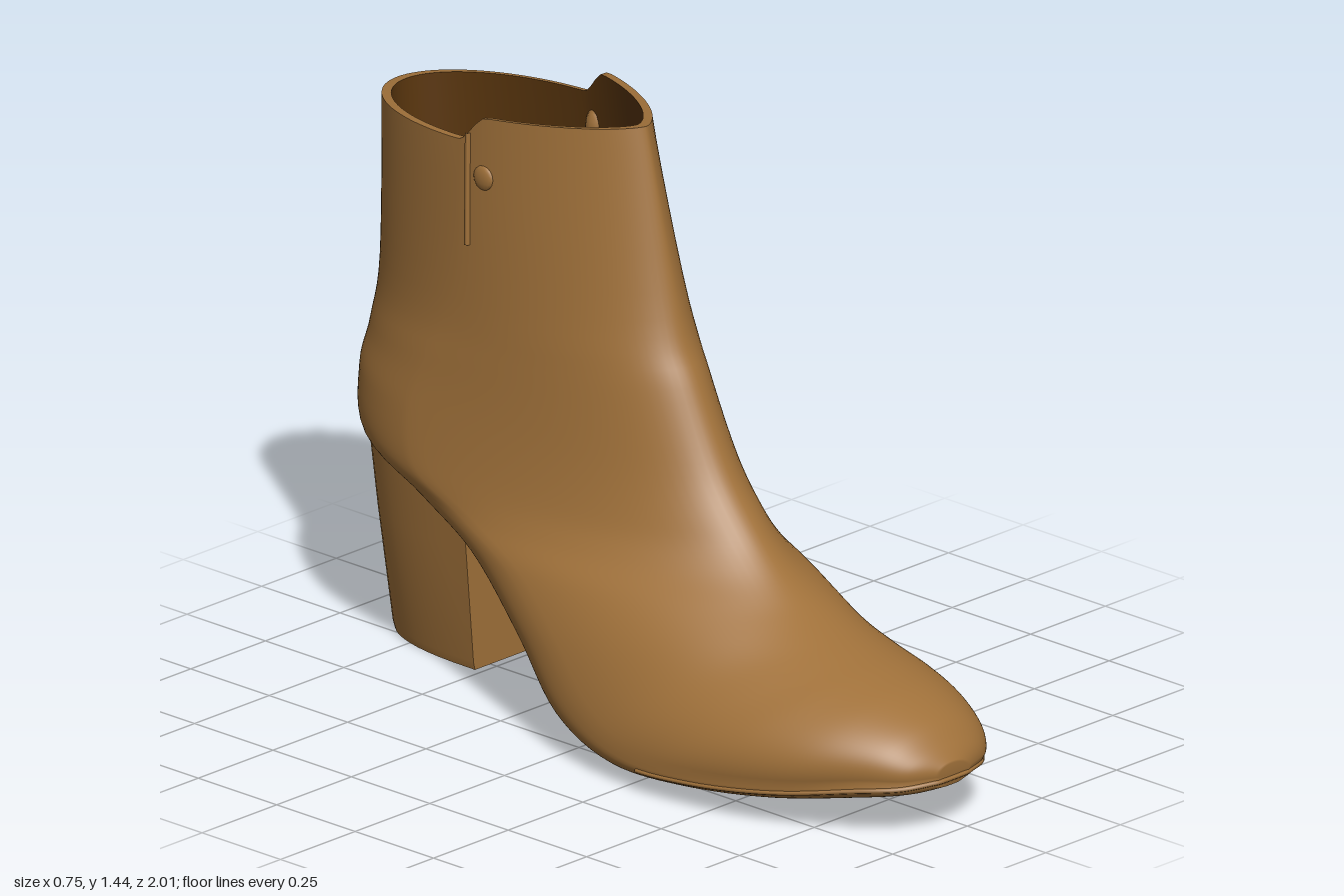
import * as THREE from 'three';
import { toCreasedNormals } from 'three/addons/utils/BufferGeometryUtils.js';

const SEG = 96;
const { lerp, smoothstep, clamp } = THREE.MathUtils;
const power = (v, e) => Math.sign(v) * Math.abs(v) ** e;

// Sections fanning from the opening to the toe:
// top/front z, y | bottom/back z, y | x min, x max | height of the widest place
const SECTIONS = [
  [-0.06, 1.44, -0.97, 1.29, -0.11, 0.325, 0.5],
  [0.05, 1.0, -0.965, 0.9, -0.13, 0.34, 0.43],
  [0.12, 0.85, -0.985, 0.74, -0.145, 0.345, 0.36],
  [0.22, 0.66, -1.0, 0.64, -0.165, 0.36, 0.31],
  [0.31, 0.55, -0.96, 0.51, -0.19, 0.36, 0.3],
  [0.38, 0.48, -0.75, 0.44, -0.215, 0.35, 0.3],
  [0.45, 0.425, -0.5, 0.36, -0.26, 0.35, 0.3],
  [0.51, 0.39, -0.27, 0.215, -0.31, 0.345, 0.28],
  [0.58, 0.362, -0.08, 0.07, -0.35, 0.34, 0.26],
  [0.66, 0.338, 0.15, 0.012, -0.372, 0.337, 0.23],
  [0.75, 0.315, 0.4, 0.02, -0.362, 0.312, 0.23],
  [0.84, 0.288, 0.65, 0.045, -0.313, 0.255, 0.27],
  [0.92, 0.25, 0.85, 0.08, -0.23, 0.18, 0.33],
  [0.97, 0.205, 0.95, 0.1, -0.165, 0.105, 0.38],
  [1.0, 0.17, 0.995, 0.115, -0.09, 0.01, 0.5],
];
const LAST = SECTIONS.length - 1;

// Smoothly interpolated section
function sectionAt(t) {
  const i = Math.min(Math.floor(t), LAST - 1), f = t - i;
  return SECTIONS[0].map((_, k) => {
    const [a, b, c, d] = [i - 1, i, i + 1, i + 2].map(n => SECTIONS[clamp(n, 0, LAST)][k]);
    return b + 0.5 * f * (c - a + f * (2 * a - 5 * b + 4 * c - d + f * (3 * (b - c) + d - a)));
  });
}

// Closed outline of a section: pointed at the throat, squarer on the sole
function ring(t, scale = 1) {
  const [tz, ty, bz, by, x0, x1, m] = sectionAt(t);
  const xTop = lerp(0.04, -0.05, t / LAST), xBottom = lerp(0.16, -0.05, smoothstep(t, 3, 11));
  const nTop = 1.5 + 0.4 * smoothstep(t, 0, 1.5) + 0.15 * smoothstep(t, 4, 7);
  const nBottom = 2 + 1.3 * smoothstep(t, 2, 9);
  const pts = [];
  for (let j = 0; j < SEG; j++) {
    const a = (j / SEG) * Math.PI * 2, c = Math.cos(a), n = c > 0 ? nTop : nBottom;
    const u = power(c, 2 / n), s = power(Math.sin(a), 2 / n);
    const v = u > 0 ? m + (1 - m) * u : m + m * u;
    const x = lerp((x0 + x1) / 2, u > 0 ? xTop : xBottom, Math.abs(u)) + s * (x1 - x0) / 2;
    const z = lerp(bz, tz, v);
    // Step in the collar where the front panel stands above the back
    const collar = lerp(1.33 + (z + 0.52) * 0.09, 1.44 + (z + 0.06) * 0.1, smoothstep(z, -0.52, -0.43));
    const step = (collar - lerp(1.29, 1.44, (z + 0.97) / 0.91)) * Math.max(0, 1 - t * 3);
    pts.push(new THREE.Vector3(x, lerp(by, ty, v) + step, z));
  }
  const mid = centre(pts);
  return pts.map(p => p.sub(mid).multiplyScalar(scale).add(mid));
}

function centre(pts) {
  return pts.reduce((p, q) => p.add(q), new THREE.Vector3()).divideScalar(pts.length);
}

// Skin over closed rings, with an optional cap on the last one
function loft(rings, cap = false) {
  const n = rings[0].length, pos = rings.flat().flatMap(p => p.toArray()), index = [];
  for (let i = 0; i < rings.length - 1; i++) for (let j = 0; j < n; j++) {
    const a = i * n + j, b = i * n + (j + 1) % n;
    index.push(a, a + n, b + n, a, b + n, b);
  }
  if (cap) {
    const base = (rings.length - 1) * n;
    pos.push(...centre(rings.at(-1)).toArray());
    for (let j = 0; j < n; j++) index.push(base + j, base + n, base + (j + 1) % n);
  }
  const g = new THREE.BufferGeometry();
  g.setAttribute('position', new THREE.Float32BufferAttribute(pos, 3));
  g.setIndex(index);
  g.computeVertexNormals();
  return g;
}

// Heel outline: flat breast, rounded back; the top follows the slope of the seat
function heelRing(y, w, back, isTop) {
  const pts = [];
  for (let j = 0; j <= 28; j++) {
    const a = (j / 28) * Math.PI, c = Math.cos(a);
    const z = -0.52 + (back + 0.52) * power(Math.sin(a), 0.75);
    const seat = 0.39 - (z + 0.5) * 0.33 + 0.09 * Math.abs(c) ** 3;
    pts.push(new THREE.Vector3(0.13 + w * power(c, 0.8), isTop ? seat : y, z));
  }
  return pts;
}

export function createModel() {
  const boot = new THREE.Group();
  boot.name = 'ankleBoot';
  const leather = new THREE.MeshStandardMaterial({ color: 0xa0713a });
  leather.name = 'tan leather';
  const dark = new THREE.MeshStandardMaterial({ color: 0x5a360e });
  dark.name = 'dark brown lining';
  const add = (name, geometry, parent = boot, material = leather) => {
    const mesh = new THREE.Mesh(geometry, material);
    mesh.name = name;
    parent.add(mesh);
    return mesh;
  };

  // Upper and sole
  const outer = [];
  for (let i = 0; i <= LAST * 6; i++) outer.push(ring(i / 6));
  add('upper', loft(outer, true));

  // Collar edge, lining and insole
  const inner = [];
  for (let t = 0; t <= 6; t += 0.25) inner.push(ring(t, 0.93));
  add('collarEdge', loft([inner[0], outer[0]]));
  add('lining', loft([ring(6, 0.01), ...inner.reverse()]), boot, dark);

  // Tapered block heel
  const heelRows = [heelRing(0.5, 0.23, -0.958, true), heelRing(0.3, 0.212, -0.93),
    heelRing(0.02, 0.187, -0.892), heelRing(0, 0.182, -0.887)];
  add('heel', toCreasedNormals(loft(heelRows, true), 0.6));

  // Raised seams through the nearest surface points on one side
  const skin = outer.flat();
  const onSkin = (side, z, y) => {
    let best, min = Infinity;
    for (const p of skin) {
      const d = (p.z - z) ** 2 + (p.y - y) ** 2;
      if ((p.x - 0.03) * side > 0 && d < min) { min = d; best = p; }
    }
    return best;
  };
  const seam = (name, side, path, radius) => add(name, new THREE.TubeGeometry(
    new THREE.CatmullRomCurve3(path.map(([z, y]) => onSkin(side, z, y))), 40, radius, 6));
  seam('zipSeam', 1, [[-0.47, 1.34], [-0.46, 1.15], [-0.43, 0.9], [-0.39, 0.65], [-0.3, 0.42]], 0.01);
  seam('sideSeam', -1, [[-0.47, 1.36], [-0.47, 1.2], [-0.46, 1.05]], 0.008);

  // Welt around the toe
  const edge = outer.slice(56, 85);
  const welt = [...edge.map(r => r[27]), ...edge.reverse().map(r => r[SEG - 27])];
  add('welt', new THREE.TubeGeometry(new THREE.CatmullRomCurve3(welt), 120, 0.006, 6));

  // Zip sliders with hanging pulls
  for (const [z, y, s] of [[-0.49, 1.27, 1.1], [-0.465, 1.1, 0.8]]) {
    const slider = new THREE.Group();
    slider.name = 'zipSlider';
    slider.position.copy(onSkin(1, z, y));
    slider.scale.setScalar(s);
    boot.add(slider);
    const body = add('sliderBody', new THREE.SphereGeometry(0.03, 12, 8), slider);
    body.scale.set(1, 1.6, 1);
    const loop = add('pullRing', new THREE.TorusGeometry(0.028, 0.012, 6, 16), slider);
    loop.position.set(0.02, -0.04, -0.01);
    loop.rotation.y = Math.PI / 2;
  }

  // Small stud on the other side
  const stud = add('stud', new THREE.SphereGeometry(0.03, 14, 8));
  stud.scale.x = 0.35;
  stud.position.copy(onSkin(-1, -0.42, 1.25));

  return boot;
}
